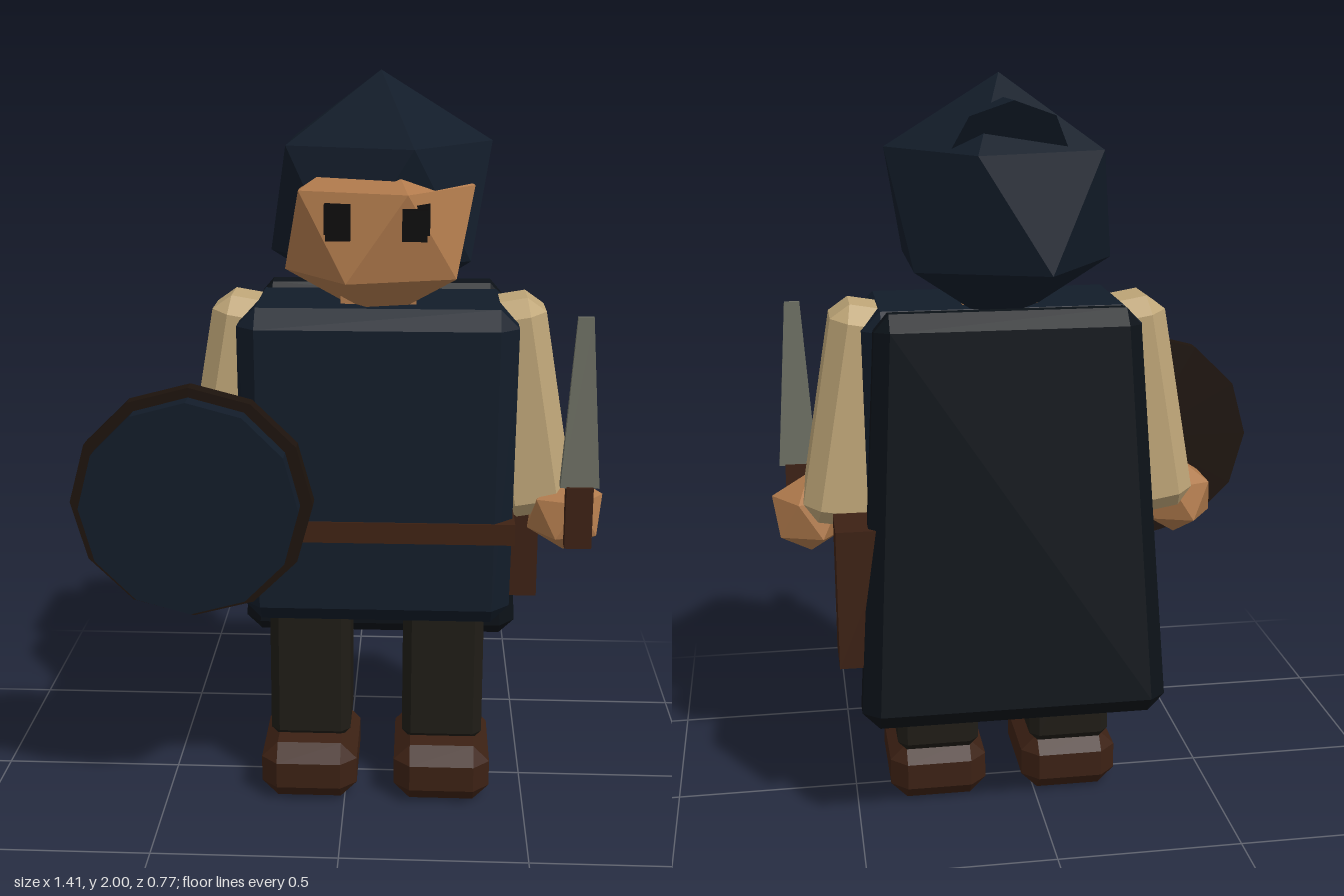
import * as THREE from 'three';
import { ConvexGeometry } from 'three/addons/geometries/ConvexGeometry.js';

const CX = 0.086; // middle of the body

const paint = (color) => new THREE.MeshStandardMaterial({ color, flatShading: true });
const navy = paint(0x121c29), capeNavy = paint(0x0c1218), skin = paint(0xb07a4c), cream = paint(0xbfa678),
  trouser = paint(0x1f1c16), leather = paint(0x3c2114), strap = paint(0x3f2213),
  steel = paint(0x6c6e62), rimWood = paint(0x1d130d), black = paint(0x0a0909);

// Box with chamfered edges; the top and bottom can have their own width and depth factors
function chamferBox(w, h, d, c, top = [1, 1], bottom = [1, 1]) {
  const pts = [], H = [w / 2, h / 2, d / 2];
  for (const sx of [-1, 1]) for (const sy of [-1, 1]) for (const sz of [-1, 1])
    for (let full = 0; full < 3; full++) {
      const p = [sx, sy, sz].map((s, i) => s * (H[i] - (i === full ? 0 : c)));
      const k = sy > 0 ? top : bottom;
      pts.push(new THREE.Vector3(p[0] * k[0], p[1], p[2] * k[1]));
    }
  return new ConvexGeometry(pts);
}

// Twenty-sided ball standing on a corner
function ball(rx, ry, rz) {
  const pts = [new THREE.Vector3(0, ry, 0), new THREE.Vector3(0, -ry, 0)];
  const ring = 2 / Math.sqrt(5), lift = 1 / Math.sqrt(5);
  for (let i = 0; i < 10; i++) {
    const a = (i * Math.PI) / 5;
    pts.push(new THREE.Vector3(Math.cos(a) * ring * rx, (i % 2 ? -lift : lift) * ry, Math.sin(a) * ring * rz));
  }
  return new ConvexGeometry(pts);
}

export function createModel() {
  const model = new THREE.Group();
  model.name = 'hoodedAdventurer';

  const add = (name, geometry, material, x, y, z) => {
    const mesh = new THREE.Mesh(geometry, material);
    mesh.name = name;
    mesh.position.set(x, y, z);
    model.add(mesh);
    return mesh;
  };
  const box = (w, h, d) => new THREE.BoxGeometry(w, h, d);

  // Tunic, belt, neck
  add('tunic', chamferBox(0.74, 0.86, 0.42, 0.05, [1, 0.95], [0.975, 1.03]), navy, CX, 0.975, 0.015);
  add('belt', box(0.738, 0.058, 0.436), strap, CX, 0.812, 0.012);
  add('neck', box(0.2, 0.16, 0.18), skin, CX, 1.43, 0.01);

  // Cape, wider at the hem and leaning back
  const cape = add('cape', chamferBox(0.81, 1.09, 0.15, 0.045, [0.85, 0.85], [1, 1]), capeNavy, CX, 0.872, -0.26);
  cape.rotation.x = 0.085;

  // Hood, its folded tip, and the face inside
  add('hood', ball(0.332, 0.33, 0.35), navy, CX, 1.67, -0.067);
  const tip = add('hoodTip', new THREE.ConeGeometry(0.15, 0.25, 8), navy, CX, 1.878, -0.152);
  tip.rotation.x = Math.PI / 3;
  add('face', ball(0.28, 0.25, 0.28), skin, CX, 1.6, 0.047);

  for (const side of [-1, 1]) {
    const label = side > 0 ? 'left' : 'right';

    // Eyes, each with a raised plate in front
    add(label + 'Eye', box(0.066, 0.075, 0.05), black, CX + side * 0.1, 1.647, 0.24);
    add(label + 'EyePlate', box(0.062, 0.078, 0.026), black, CX + side * 0.095, 1.642, 0.316);

    // Arms and hands
    const arm = add(label + 'Arm', chamferBox(0.205, 0.6, 0.215, 0.045), cream, CX + side * 0.389, 1.11, -0.015);
    arm.rotation.z = side * 0.17;
    add(label + 'Hand', ball(0.114, 0.112, 0.121), skin, CX + side * 0.515, 0.82, 0.035);

    // Legs and boots
    add(label + 'Leg', chamferBox(0.225, 0.46, 0.245, 0.025), trouser, CX + side * 0.186, 0.38, -0.01);
    add(label + 'Boot', chamferBox(0.268, 0.163, 0.35, 0.045), leather, CX + side * 0.186, 0.0815, 0.032);
  }

  // Dagger in the left hand
  add('daggerGrip', box(0.072, 0.17, 0.045), leather, 0.627, 0.843, 0.153);
  const blade = new THREE.CylinderGeometry(0.4, 1, 1, 4, 1).rotateY(Math.PI / 4);
  blade.scale(0.104 / Math.SQRT2 , 0.46, 0.032 / Math.SQRT2);
  add('daggerBlade', blade, steel, 0.627, 1.155, 0.15);

  // Round shield held before the right hand
  const disc = (r, depth) => new THREE.CylinderGeometry(r, r, depth, 12).rotateX(Math.PI / 2);
  add('shieldRim', disc(0.317, 0.05), rimWood, -0.39, 0.92, 0.308).scale.y = 0.975;
  add('shieldFace', disc(0.284, 0.06), navy, -0.39, 0.92, 0.36);

  // Satchel at the left hip
  add('satchel', box(0.15, 0.375, 0.157), leather, 0.47, 0.683, -0.229);

  return model;
}
